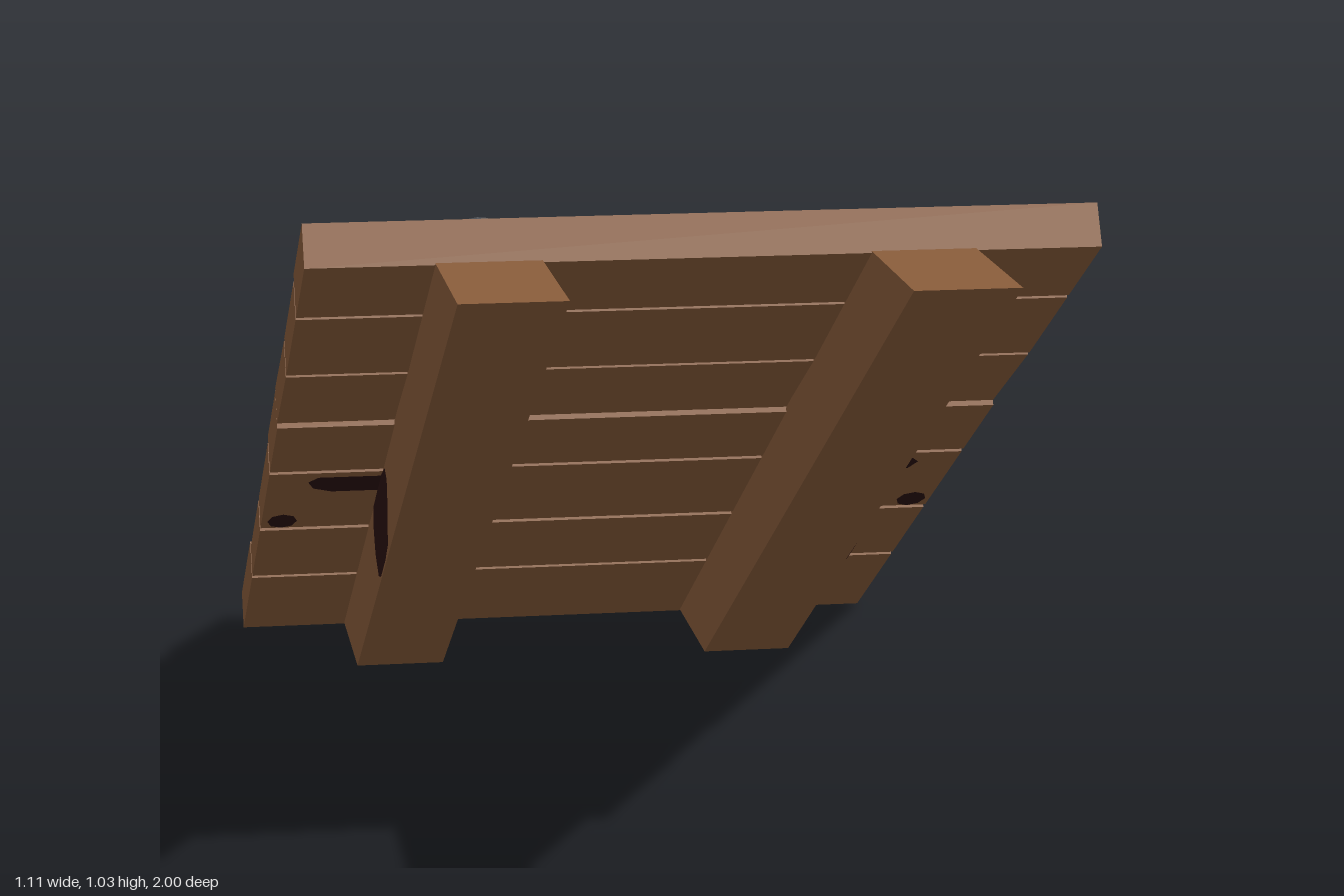
import * as THREE from 'three';

const wood = new THREE.MeshStandardMaterial({ color: 0x8b5e3c, flatShading: true });
wood.name = 'wood';
const iron = new THREE.MeshStandardMaterial({ color: 0x505257, flatShading: true });
iron.name = 'iron';
const char = new THREE.MeshStandardMaterial({ color: 0x2a1010, side: THREE.DoubleSide });
char.name = 'charredWood';

const SLOPE = Math.PI / 6;
const BASE_Y = 0.562; // height of the plank undersides at z = 0

function add(parent, name, geometry, material, x = 0, y = 0, z = 0) {
  const mesh = new THREE.Mesh(geometry, material);
  mesh.name = name;
  mesh.position.set(x, y, z);
  parent.add(mesh);
  return mesh;
}

const outline = (points) => new THREE.Shape(points.map(([a, b]) => new THREE.Vector2(a, b)));

export function createModel() {
  const ramp = new THREE.Group();
  ramp.name = 'woodenRamp';

  // Two side beams, cut level at the top and at the foot; profile in (z, y)
  const beamShape = outline([[1, 0.98], [0.71, 0.98], [-0.97, 0.008], [-0.684, 0.008]]);
  const beam = new THREE.ExtrudeGeometry(beamShape, { depth: 0.147, bevelEnabled: false });
  beam.rotateY(-Math.PI / 2);
  add(ramp, 'leftBeam', beam, wood, 0.375);
  add(ramp, 'rightBeam', beam, wood, -0.228);

  // Burnt patch on the outer face of each beam
  const burn = new THREE.ShapeGeometry(outline([
    [-0.055, 0.49], [-0.09, 0.5], [-0.16, 0.47], [-0.3, 0.385], [-0.305, 0.35], [-0.275, 0.313],
    [-0.22, 0.29], [-0.18, 0.3], [-0.14, 0.323], [-0.095, 0.35], [-0.05, 0.385], [-0.045, 0.445],
  ]));
  burn.rotateY(-Math.PI / 2);
  for (const side of [1, -1]) add(ramp, 'beamBurn', burn, char, side * 0.3765);

  // Sloping frame: +z runs up the ramp, +y points out of the deck
  const deck = new THREE.Group();
  deck.name = 'deck';
  deck.position.y = BASE_Y;
  deck.rotation.x = -SLOPE;
  ramp.add(deck);

  // Planks from top to foot: upper end, lower end, thickness, tilt, lift
  const planks = [
    [0.831, 0.621, 0.065, 0, 0],
    [0.611, 0.356, 0.057, 0, 0],
    [0.346, 0.094, 0.056, 0.03, 0.004],
    [0.092, -0.143, 0.06, 0, 0],
    [-0.157, -0.465, 0.052, 0, 0],
    [-0.481, -0.763, 0.052, 0, 0],
    [-0.777, -1.114, 0.064, 0, 0],
  ];
  // Bolts of each plank, as seen from above: left x, left z, right x, right z
  const bolts = [
    [0.295, 0.6, -0.305, 0.62],
    [0.315, 0.375, -0.305, 0.415],
    [0.31, 0.14, -0.305, 0.135],
    [0.305, -0.08, -0.3, -0.035],
    [0.295, -0.325, -0.305, -0.3],
    [0.315, -0.595, -0.305, -0.555],
    [0.33, -0.9, -0.315, -0.835],
  ];
  const boltHead = new THREE.SphereGeometry(0.04, 8, 3, 0, Math.PI * 2, 0, Math.PI / 2);
  boltHead.scale(1, 0.75, 1);

  planks.forEach(([top, foot, thick, tilt, lift], i) => {
    const plank = add(deck, 'plank', new THREE.BoxGeometry(1.106, thick, top - foot), wood,
      0, thick / 2 + lift, (top + foot) / 2);
    plank.rotation.x = tilt;
    const [lx, lz, rx, rz] = bolts[i];
    for (const [x, z] of [[lx, lz], [rx, rz]]) {
      // Slide the bolt along the slope so that it lands at z on the top face
      const s = (z + thick * Math.sin(SLOPE)) / Math.cos(SLOPE);
      add(deck, 'bolt', boltHead, iron, x, thick + lift - 0.003, s).rotation.y = i + x * 3;
    }
  });

  // Burns under the planks and under the beams, mirrored on both sides
  const plankBurn = new THREE.ShapeGeometry(outline([
    [0.37, -0.175], [0.475, -0.175], [0.49, -0.2], [0.48, -0.235], [0.45, -0.255], [0.37, -0.255],
  ]));
  const beamEdgeBurn = new THREE.ShapeGeometry(outline([
    [0.375, -0.2], [0.36, -0.205], [0.35, -0.25], [0.352, -0.32], [0.365, -0.36], [0.375, -0.365],
  ]));
  const spot = new THREE.CircleGeometry(0.03, 8);
  spot.scale(0.8, 1.3, 1);
  spot.translate(0.52, -0.42, 0);
  for (const g of [plankBurn, beamEdgeBurn, spot]) g.rotateX(Math.PI / 2);
  for (const side of [1, -1]) {
    add(deck, 'plankBurn', plankBurn, char, 0, -0.002, 0).scale.x = side;
    add(deck, 'burnSpot', spot, char, 0, -0.002, 0).scale.x = side;
    // The beam underside lies below the deck line by the beam depth
    add(deck, 'beamEdgeBurn', beamEdgeBurn, char, 0, -0.1375, 0).scale.x = side;
  }

  return ramp;
}
